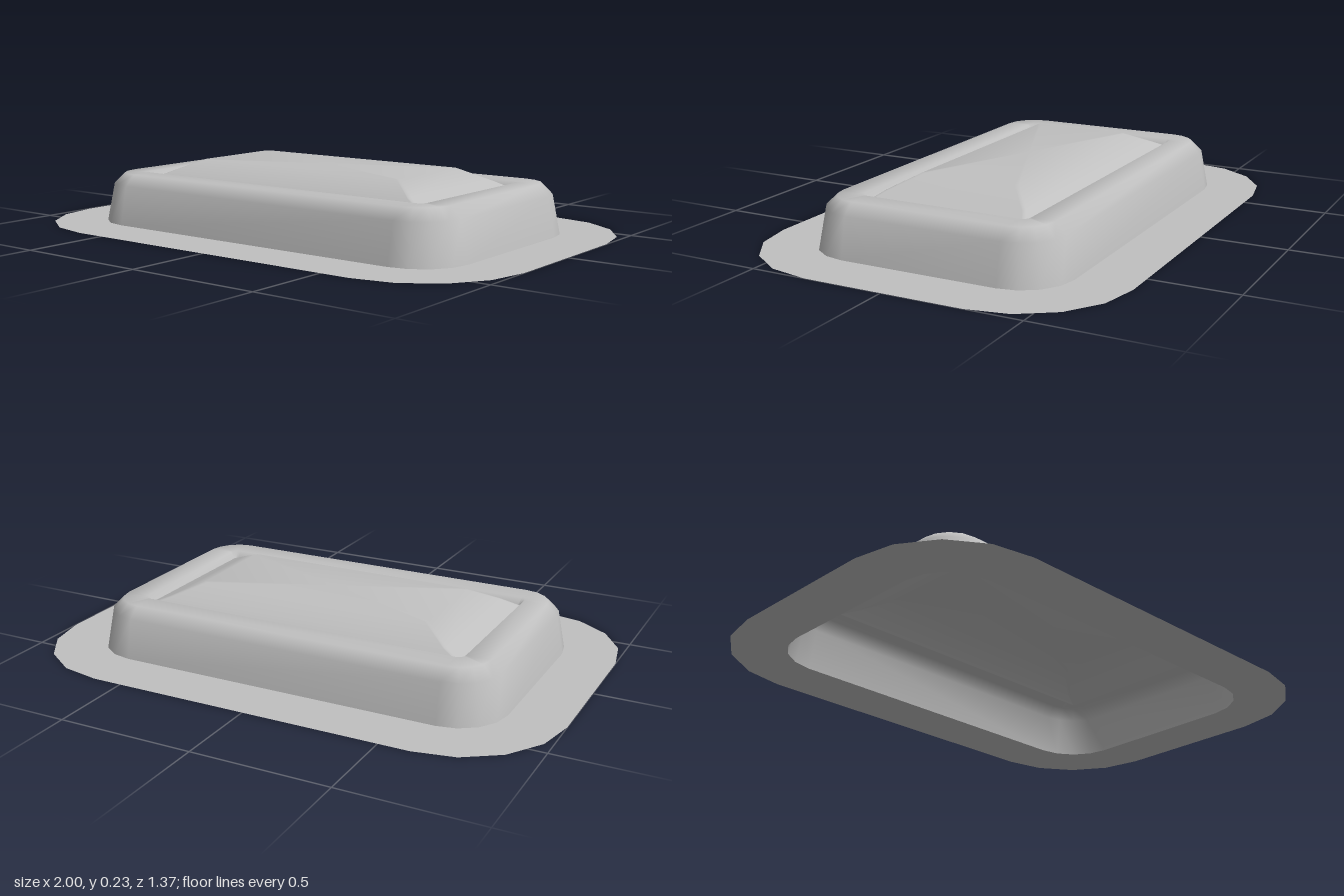
import * as THREE from 'three';

const CORNER_STEPS = 4;

// Rounded rectangle loop: half sizes w (x) and d (z), corner radius r, height y
function loop(w, d, r, y) {
  const pts = [];
  [[1, 1], [-1, 1], [-1, -1], [1, -1]].forEach(([sx, sz], q) => {
    for (let i = 0; i <= CORNER_STEPS; i++) {
      const a = (q + i / CORNER_STEPS) * Math.PI / 2;
      pts.push(sx * (w - r) + r * Math.cos(a), y, sz * (d - r) + r * Math.sin(a));
    }
  });
  return pts;
}

// Loop that lies at offset r around the shared corner centres
const ring = (r, y) => loop(0.612 + r, 0.295 + r, r, y);

// Skin between successive loops, outermost first; capY closes the last loop
function skin(name, loops, material, capY) {
  const n = loops[0].length / 3;
  const positions = loops.flat();
  const index = [];
  for (let j = 0; j < loops.length - 1; j++) {
    for (let i = 0; i < n; i++) {
      const k = (i + 1) % n;
      const a = j * n + i, b = j * n + k, c = a + n, d = b + n;
      index.push(a, c, b, b, c, d);
    }
  }
  if (capY !== undefined) {
    const centre = positions.length / 3;
    const start = centre - n;
    positions.push(0, capY, 0);
    for (let i = 0; i < n; i++) index.push(start + i, centre, start + (i + 1) % n);
  }
  const geometry = new THREE.BufferGeometry();
  geometry.setAttribute('position', new THREE.Float32BufferAttribute(positions, 3));
  geometry.setIndex(index);
  geometry.computeVertexNormals();
  const mesh = new THREE.Mesh(geometry, material);
  mesh.name = name;
  return mesh;
}

export function createModel() {
  const group = new THREE.Group();
  group.name = 'shallowTray';
  const grey = new THREE.MeshStandardMaterial({ color: 0xc0c0c0, side: THREE.DoubleSide });
  grey.name = 'light grey';

  // Flat skirt on the ground
  group.add(skin('flange', [ring(0.388, 0), ring(0.186, 0)], grey));

  // Sloped wall, bevelled shoulder, flat rim and the lip dropping to the panel
  group.add(skin('wallAndRim', [
    ring(0.186, 0), ring(0.157, 0.145), ring(0.116, 0.185),
    ring(0.028, 0.185), ring(0.012, 0.16),
  ], grey));

  // Raised centre panel with sloped sides
  group.add(skin('centrePanel', [
    ring(0.012, 0.16),
    loop(0.56, 0.275, 0.012, 0.187),
    loop(0.455, 0.19, 0.012, 0.235),
  ], grey, 0.235));

  return group;
}
